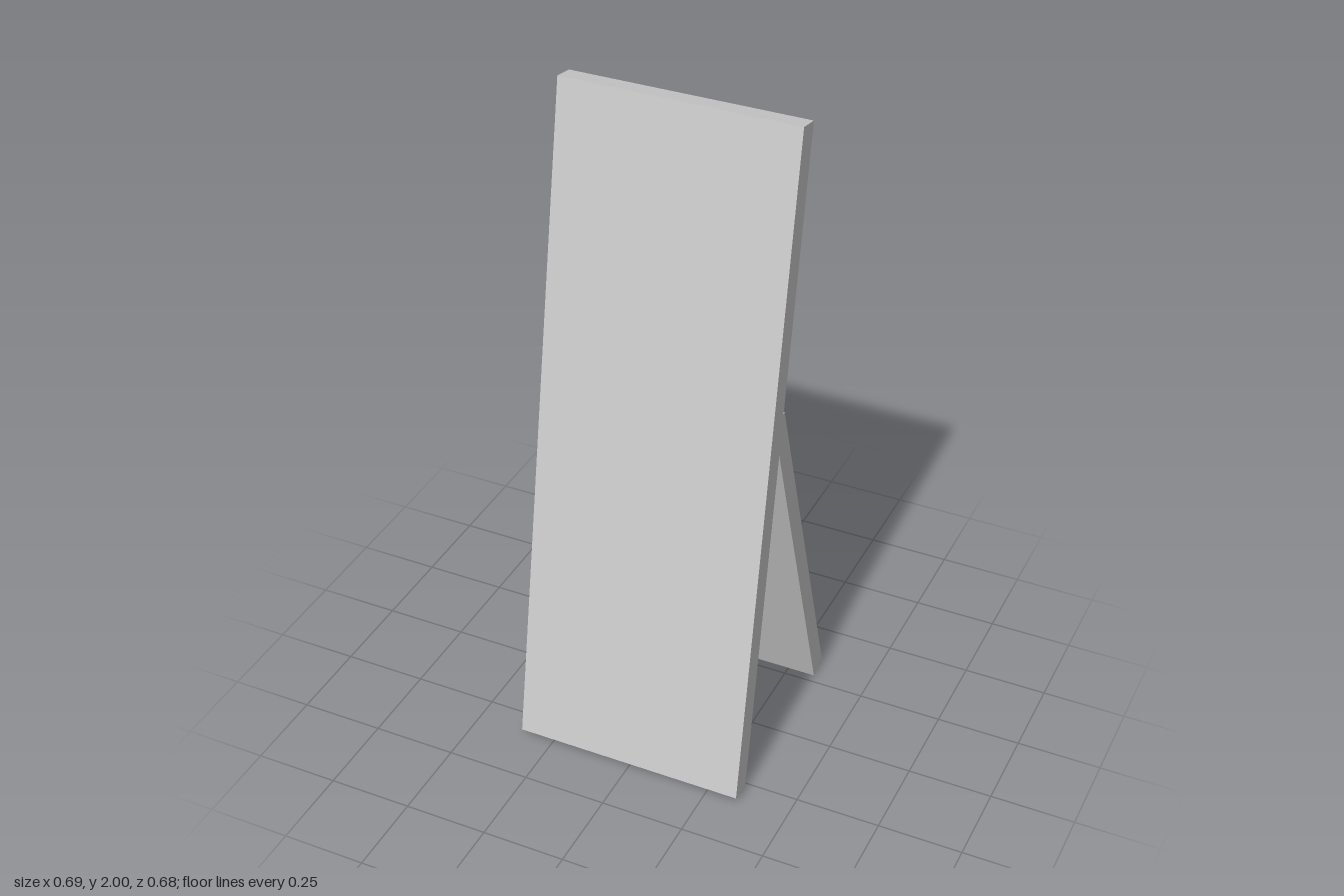
import * as THREE from 'three';

export function createModel() {
  const group = new THREE.Group();
  const material = new THREE.MeshStandardMaterial({ color: 0xcccccc, flatShading: true });

  // A flat board, tilted about the x axis
  function board(name, width, length, thickness, y, z, tiltDegrees) {
    const mesh = new THREE.Mesh(new THREE.BoxGeometry(width, length, thickness), material);
    mesh.name = name;
    mesh.position.set(0, y, z);
    mesh.rotation.x = THREE.MathUtils.degToRad(tiltDegrees);
    group.add(mesh);
  }

  // Tall panel leaning back, and the shorter prop that holds it up
  board('frontPanel', 0.695, 2.01, 0.066, 1.004, 0.133, -10);
  board('backSupport', 0.67, 1.2, 0.066, 0.581, -0.124, 18);

  return group;
}
